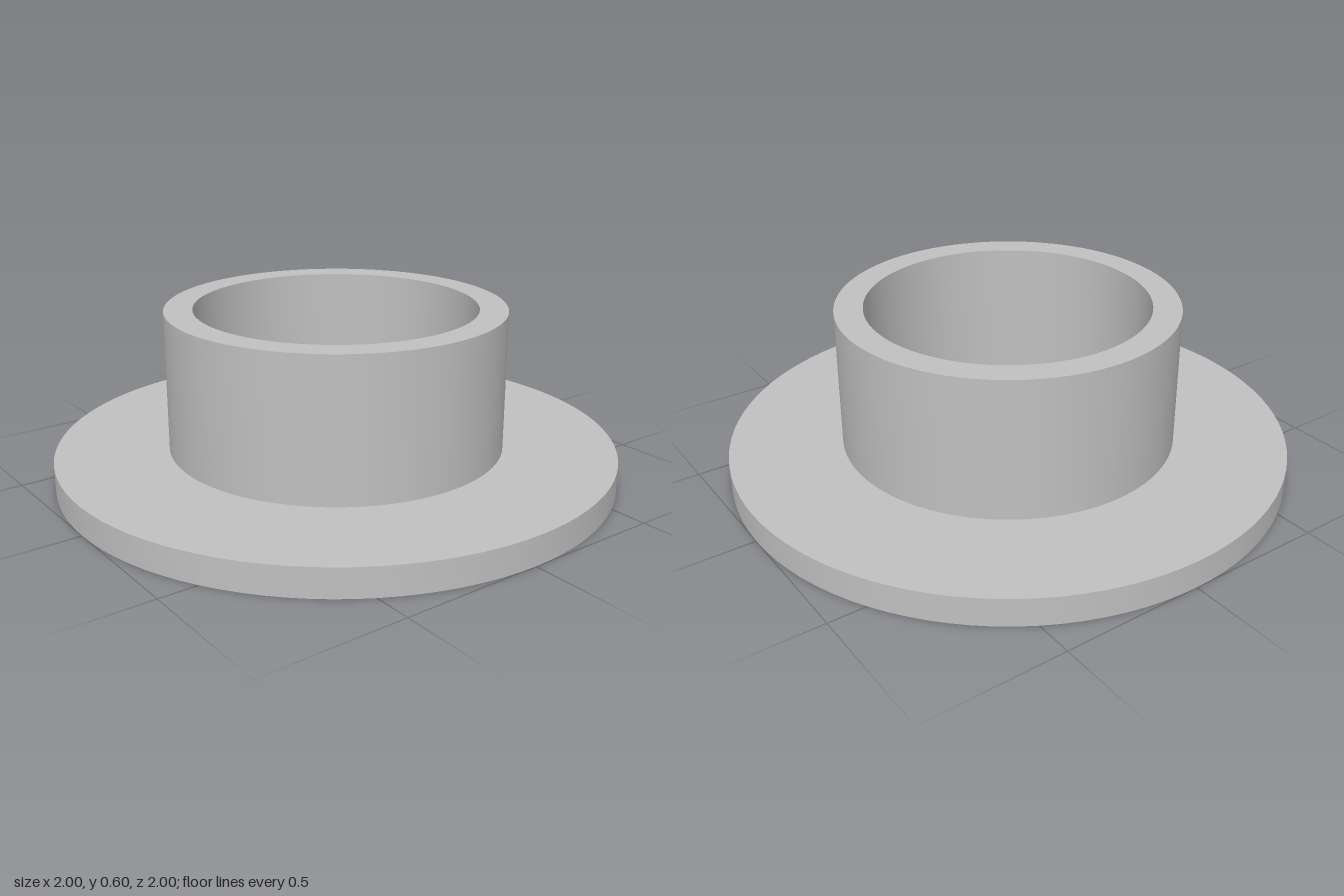
import * as THREE from 'three';
import { toCreasedNormals } from 'three/addons/utils/BufferGeometryUtils.js';

// Revolve a [radius, height] profile, smooth around and sharp at the rims
function revolve(name, profile, material) {
  const points = profile.map(([r, y]) => new THREE.Vector2(r, y));
  const geometry = toCreasedNormals(new THREE.LatheGeometry(points, 96), Math.PI / 6);
  const mesh = new THREE.Mesh(geometry, material);
  mesh.name = name;
  return mesh;
}

export function createModel() {
  const group = new THREE.Group();
  group.name = 'flangedBushing';

  const metal = new THREE.MeshStandardMaterial({ color: 0xc0c0c0 });
  metal.name = 'grey metal';

  const bore = 0.5, collarRadius = 0.6, flangeRadius = 1;
  const flangeTop = 0.1, collarTop = 0.6;

  // Flange: underside, rim and top, meeting the collar
  group.add(revolve('flange', [
    [bore, 0], [flangeRadius, 0], [flangeRadius, flangeTop], [collarRadius, flangeTop],
  ], metal));

  // Collar: outer wall, top ring and the bore running through to the base
  group.add(revolve('collar', [
    [collarRadius, flangeTop], [collarRadius, collarTop], [bore, collarTop], [bore, 0],
  ], metal));

  return group;
}
